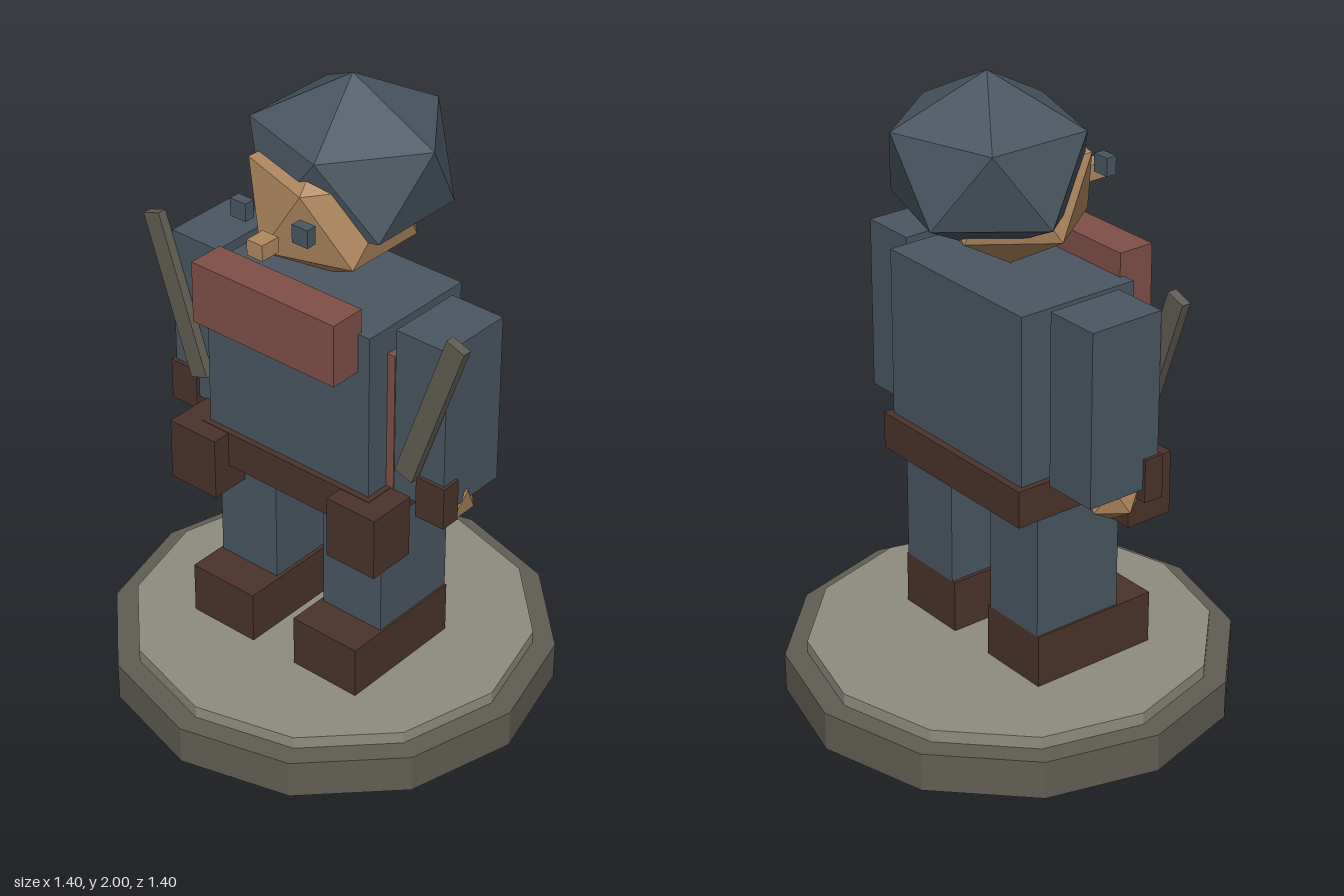
import * as THREE from 'three';

export function createModel() {
  const model = new THREE.Group();
  model.name = 'figurine';

  const paint = (name, color) => {
    const m = new THREE.MeshStandardMaterial({ color, flatShading: true });
    m.name = name;
    return m;
  };
  const cloth = paint('blue grey cloth', 0x4a5661);
  const skin = paint('skin', 0xb08860);
  const red = paint('dull red', 0x7f4f47);
  const leather = paint('brown leather', 0x4a332b);
  const stone = paint('light stone', 0x8f8b80);
  const darkStone = paint('dark stone', 0x605d53);

  const add = (name, geometry, material, x, y, z) => {
    const mesh = new THREE.Mesh(geometry, material);
    mesh.name = name;
    mesh.position.set(x, y, z);
    model.add(mesh);
    return mesh;
  };

  // Box given by its lower and upper limits on each axis
  const box = (name, material, [x0, x1], [y0, y1], [z0, z1]) =>
    add(name, new THREE.BoxGeometry(x1 - x0, y1 - y0, z1 - z0), material,
      (x0 + x1) / 2, (y0 + y1) / 2, (z0 + z1) / 2);

  // Twenty-sided ball standing on a corner, upper ring pointing to +x
  const ball = (name, material, [rx, ry, rz], x, y, z) => {
    const g = new THREE.IcosahedronGeometry(1, 0);
    g.rotateX(-Math.atan((1 + Math.sqrt(5)) / 2));
    g.rotateY(Math.PI / 2);
    g.scale(rx, ry, rz);
    g.computeVertexNormals();
    return add(name, g, material, x, y, z);
  };

  // Stand
  add('standRim', new THREE.CylinderGeometry(0.7, 0.7, 0.125, 12), darkStone, 0, 0.0625, 0);
  add('standTop', new THREE.CylinderGeometry(0.63, 0.63, 0.065, 12), stone, 0, 0.1325, 0);

  // Body
  box('torso', cloth, [-0.31, 0.31], [0.84, 1.385], [-0.205, 0.205]);
  box('belt', leather, [-0.328, 0.328], [0.73, 0.848], [-0.228, 0.225]);
  box('scarf', red, [-0.268, 0.268], [1.26, 1.46], [0.19, 0.31]);
  box('sidePanel', red, [0.3, 0.337], [0.84, 1.3], [0.03, 0.125]);

  // Head
  ball('head', skin, [0.268, 0.255, 0.268], 0, 1.645, 0);
  ball('hair', cloth, [0.332, 0.271, 0.32], 0, 1.729, -0.084);
  box('nose', skin, [-0.029, 0.029], [1.585, 1.635], [0.267, 0.334]);

  // Paired parts
  for (const [side, s] of [['left', 1], ['right', -1]]) {
    const span = (a, b) => (s > 0 ? [a, b] : [-b, -a]);
    box(side + 'Boot', leather, span(0.083, 0.327), [0.165, 0.335], [-0.152, 0.28]);
    box(side + 'Leg', cloth, span(0.095, 0.32), [0.335, 0.74], [-0.152, 0.155]);
    box(side + 'Pouch', leather, span(0.22, 0.4), [0.643, 0.846], [0.125, 0.286]);
    box(side + 'Arm', cloth, span(0.34, 0.523), [0.84, 1.39], [-0.125, 0.125]);
    box(side + 'Grip', leather, span(0.43, 0.533), [0.8, 0.938], [0.07, 0.137]);
    ball(side + 'Hand', skin, [0.1, 0.1, 0.1], s * 0.44, 0.827, 0.02);
    box(side + 'Eye', cloth, span(0.086, 0.143), [1.643, 1.7], [0.24, 0.275]);

    // Baton leaning outward
    const baton = add(side + 'Baton', new THREE.BoxGeometry(0.066, 0.535, 0.03),
      darkStone, s * 0.487, 1.19, 0.143);
    baton.rotation.z = -s * 0.335;
  }

  return model;
}
